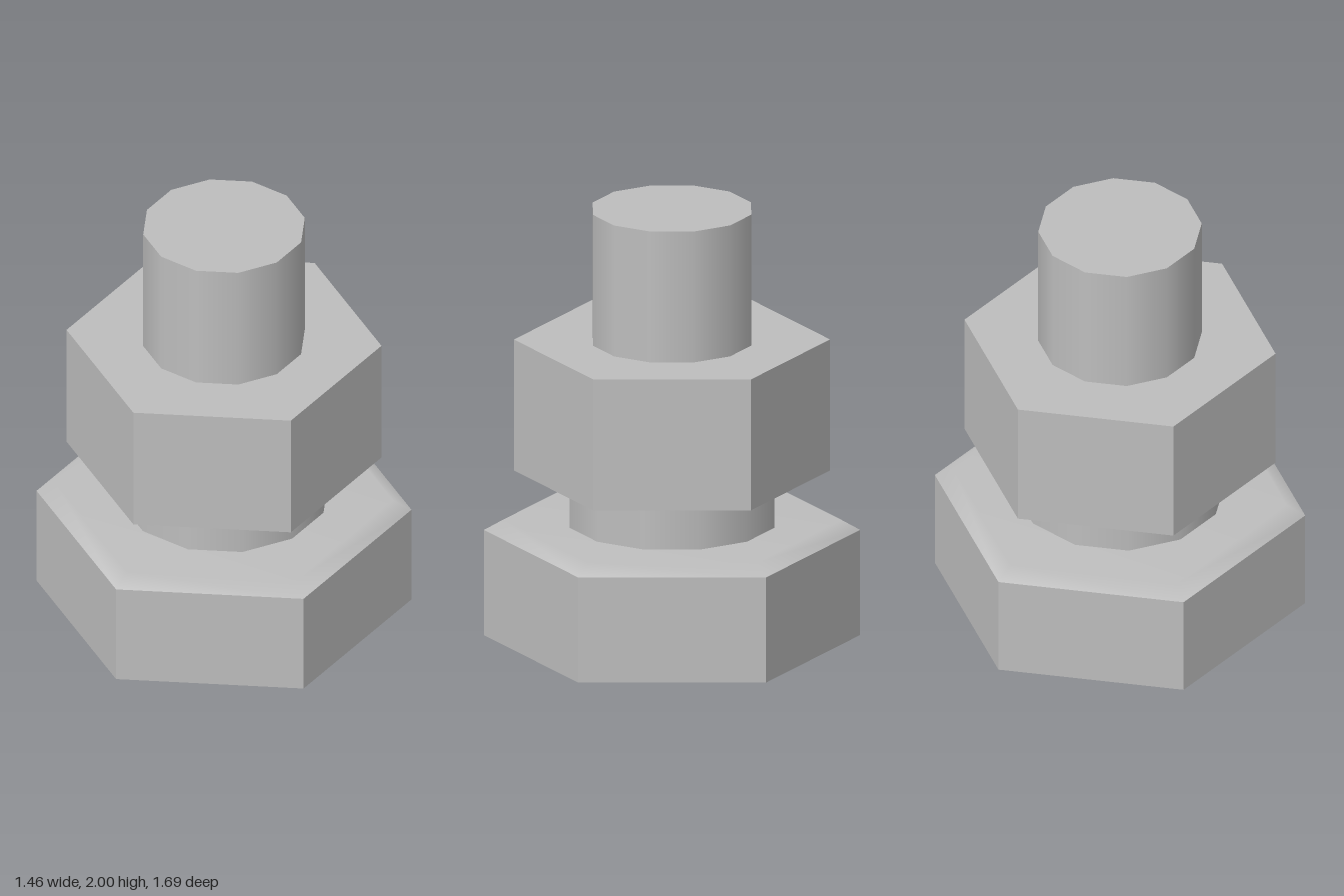
import * as THREE from 'three';

// One steel colour; double-sided because the bolt head is an open shell
const steel = new THREE.MeshStandardMaterial({ color: 0xbebebe, side: THREE.DoubleSide });

// Upright prism between two heights; faceted gives each side a flat normal
function prism(name, radius, sides, y0, y1, { turn = 0, open = false, faceted = false } = {}) {
  let geometry = new THREE.CylinderGeometry(radius, radius, y1 - y0, sides, 1, open, turn);
  if (faceted) {
    geometry = geometry.toNonIndexed();
    geometry.computeVertexNormals();
  }
  const mesh = new THREE.Mesh(geometry, steel);
  mesh.name = name;
  mesh.position.y = (y0 + y1) / 2;
  return mesh;
}

export function createModel() {
  const model = new THREE.Group();
  model.name = 'boltAndNut';
  const turn = Math.PI / 12;

  // Bolt head: hollow hexagonal wall under a smooth chamfered lid
  const head = new THREE.Group();
  head.name = 'boltHead';
  head.add(prism('headWall', 0.844, 6, 0, 0.493, { open: true, faceted: true }));
  const lidProfile = [[0.844, 0.493], [0.76, 0.54], [0, 0.54]].map(([x, y]) => new THREE.Vector2(x, y));
  const lid = new THREE.Mesh(new THREE.LatheGeometry(lidProfile, 6), steel);
  lid.name = 'headLid';
  head.add(lid);
  model.add(head);

  // Collar, nut and shank stacked above the head
  model.add(prism('collar', 0.475, 12, 0.54, 0.772, { turn }));
  model.add(prism('nut', 0.709, 6, 0.772, 1.386, { faceted: true }));
  model.add(prism('shank', 0.368, 12, 1.386, 2, { turn }));

  return model;
}
